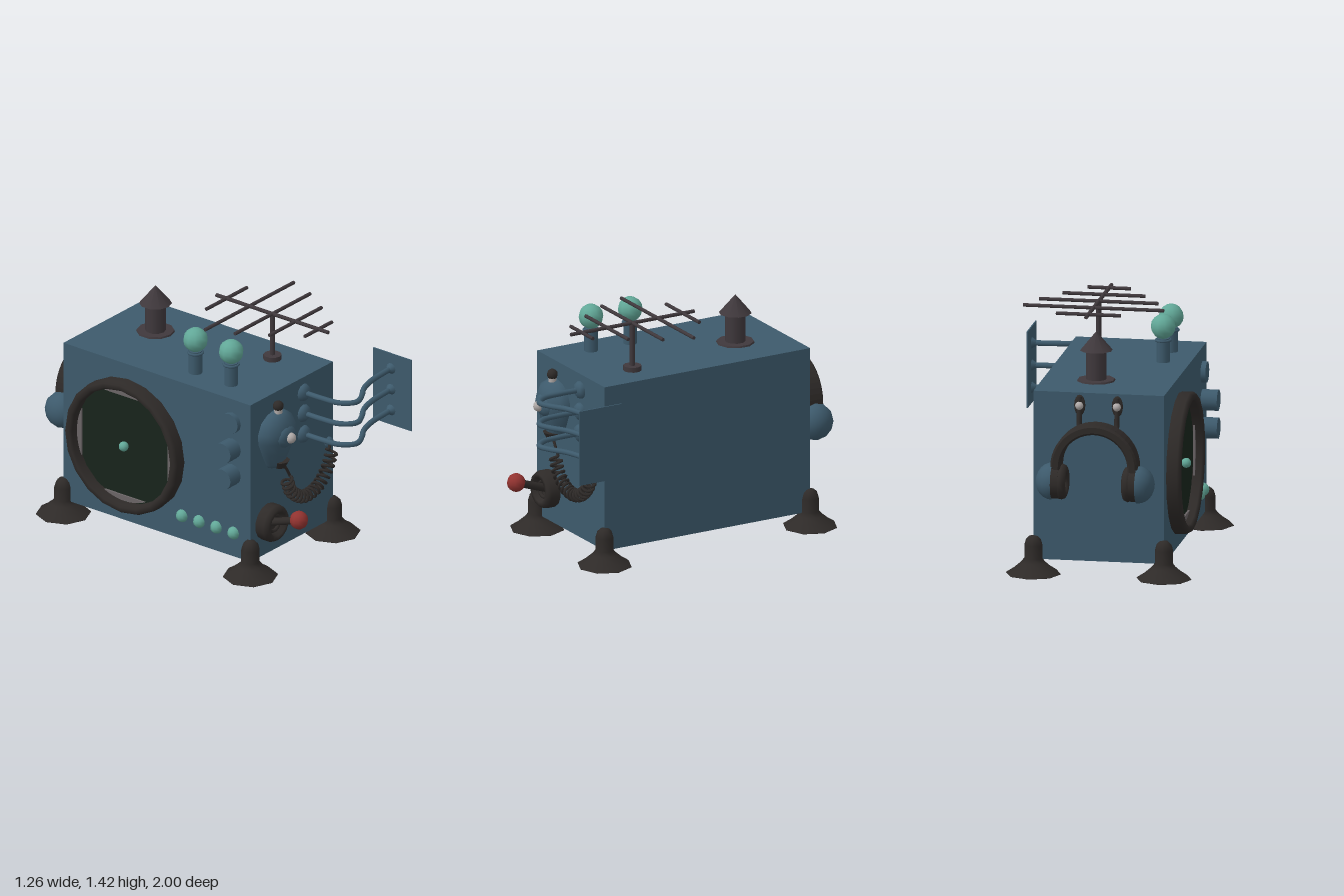
import * as THREE from 'three';

const V = (x, y, z) => new THREE.Vector3(x, y, z);
const mat = (color, side = THREE.FrontSide) => new THREE.MeshStandardMaterial({ color, side });
const BLUE = mat(0x3d5a6c), DARK = mat(0x2e2a28), IRON = mat(0x3f383c), TEAL = mat(0x62a898);
const RED = mat(0x923330), PALE = mat(0xb0aaa8), BLADE = mat(0x6a6466), GREEN = mat(0x18241b);

export function createModel() {
  const root = new THREE.Group();

  function add(name, geo, material, x = 0, y = 0, z = 0, parent = root) {
    const m = new THREE.Mesh(geo, material);
    m.name = name;
    m.position.set(x, y, z);
    parent.add(m);
    return m;
  }
  const group = (name, x = 0, y = 0, z = 0) => {
    const g = new THREE.Group();
    g.name = name;
    g.position.set(x, y, z);
    root.add(g);
    return g;
  };
  const cyl = (r0, r1, h, n = 10) => new THREE.CylinderGeometry(r1, r0, h, n);
  const ball = (r, w = 10, h = 8) => new THREE.SphereGeometry(r, w, h);
  const lathe = (pts, n) => new THREE.LatheGeometry(pts.map(p => new THREE.Vector2(...p)), n);
  const tube = (pts, r, n = 24, sides = 8) =>
    new THREE.TubeGeometry(new THREE.CatmullRomCurve3(pts), n, r, sides);

  // Main cabinet
  const L = -0.468, R = 0.32, F = 0.645, B = -0.772, TOP = 1.115;
  add('cabinet', new THREE.BoxGeometry(R - L, TOP - 0.09, F - B), BLUE, (L + R) / 2, (TOP + 0.09) / 2, (F + B) / 2);

  // Suction feet at the four corners
  const footGeo = lathe([[0, 0], [0.165, 0], [0.165, 0.003], [0.115, 0.036], [0.075, 0.07], [0.055, 0.095],
    [0.055, 0.175], [0.045, 0.21], [0.025, 0.229], [0, 0.234]], 8);
  for (const x of [L, R]) for (const z of [F, B]) add('foot', footGeo, DARK, x, 0, z);

  // Globe lamps on the roof
  for (const z of [0.1, 0.37]) {
    const lamp = group('globeLamp', -0.305, TOP, z);
    add('lampPost', cyl(0.041, 0.041, 0.15), BLUE, 0, 0.07, 0, lamp);
    add('lampCollar', new THREE.TorusGeometry(0.044, 0.008, 6, 12).rotateX(Math.PI / 2), BLUE, 0, 0.132, 0, lamp);
    add('lampGlobe', ball(0.075), TEAL, 0, 0.215, 0, lamp);
  }

  // Chimney with a conical cap
  const chimney = group('chimney', 0, TOP, -0.445);
  add('chimneyFlange', cyl(0.116, 0.112, 0.012), IRON, 0, 0.004, 0, chimney);
  add('chimneyPipe', cyl(0.062, 0.062, 0.19), IRON, 0, 0.095, 0, chimney);
  add('chimneyCap', new THREE.ConeGeometry(0.098, 0.115, 10), IRON, 0, 0.243, 0, chimney);

  // Antenna: mast, boom and cross rods
  const antenna = group('antenna', 0.127, TOP, 0.34);
  add('antennaBase', cyl(0.055, 0.055, 0.03), IRON, 0, 0.015, 0, antenna);
  add('antennaMast', cyl(0.016, 0.016, 0.3, 8), IRON, 0, 0.15, 0, antenna);
  add('antennaBoom', cyl(0.012, 0.012, 0.85, 8).rotateX(Math.PI / 2), IRON, 0, 0.295, 0, antenna);
  [0.195, 0.425, 0.36, 0.25, 0.13].forEach((half, i) =>
    add('antennaRod', cyl(0.011, 0.011, half * 2, 8).rotateZ(Math.PI / 2), IRON, 0, 0.295, (i - 2) * 0.174, antenna));

  // Pear-shaped mouthpiece on the front
  const horn = group('mouthpiece', -0.24, 0, F);
  add('mouthpieceShell', lathe([[0, 0.645], [0.06, 0.645], [0.08, 0.67], [0.118, 0.75], [0.152, 0.83], [0.156, 0.89],
    [0.125, 0.955], [0.07, 0.99], [0, 1.005]], 12).scale(1, 1, 0.72), BLUE, 0, 0, 0, horn);
  add('mouthpieceSnout', ball(0.085, 12, 8).scale(1, 0.8, 0.5), BLUE, 0, 0.855, 0.085, horn);
  add('mouthpieceButton', ball(0.033), PALE, 0, 0.855, 0.125, horn);
  add('topCollar', cyl(0.024, 0.024, 0.03), PALE, 0, 1.008, 0.03, horn);
  add('topKnob', ball(0.033), DARK, 0, 1.038, 0.03, horn);
  add('cordSocket', cyl(0.035, 0.06, 0.045, 8), DARK, 0.01, 0.66, 0.035, horn);

  // Coiled cord hanging in an arc
  const arc = new THREE.CatmullRomCurve3([V(-0.18, 0.54, 0.69), V(-0.14, 0.45, 0.69), V(-0.06, 0.385, 0.69),
    V(0.03, 0.365, 0.69), V(0.13, 0.395, 0.69), V(0.21, 0.475, 0.69), V(0.255, 0.575, 0.69)]);
  const cord = [V(-0.23, 0.66, 0.68), V(-0.19, 0.62, 0.69), V(-0.155, 0.565, 0.69)];
  const turns = 18, perTurn = 8;
  for (let i = 0; i <= turns * perTurn; i++) {
    const t = i / (turns * perTurn), a = i / perTurn * Math.PI * 2, p = arc.getPointAt(t), d = arc.getTangentAt(t);
    cord.push(V(p.x - d.y * 0.034 * Math.cos(a), p.y + d.x * 0.034 * Math.cos(a), p.z + 0.034 * Math.sin(a)));
  }
  cord.push(V(0.27, 0.602, 0.66));
  add('coiledCord', tube(cord, 0.009, 900, 5), DARK);
  add('cordPlug', ball(0.034), BLUE, 0.275, 0.605, F);

  // Lever in a round housing
  const lever = group('lever', -0.307, 0.3, F);
  add('leverHousing', lathe([[0.115, 0], [0.115, 0.06], [0.1, 0.085], [0.075, 0.085], [0.065, 0.05], [0.04, 0.04],
    [0, 0.04]], 14).rotateX(Math.PI / 2), DARK, 0, 0, 0, lever);
  add('leverCollar', new THREE.TorusGeometry(0.05, 0.012, 6, 14), DARK, 0, 0, 0.05, lever);
  add('leverArm', tube([V(0, 0, 0.02), V(0, 0.037, 0.13), V(0, 0.075, 0.24)], 0.024), DARK, 0, 0, 0, lever);
  add('leverKnob', ball(0.056), RED, 0, 0.075, 0.24, lever);

  // Three curved pipes carrying the side panel
  add('sidePanel', new THREE.BoxGeometry(0.008, 0.465, 0.29), BLUE, 0.626, 0.8825, 0.855);
  for (const y of [0.745, 0.881, 1.017]) {
    const pipe = group('panelPipe', 0, y, 0);
    add('pipeSocket', ball(0.055, 8, 6).scale(1, 1, 0.7), BLUE, 0.038, 0, F, pipe);
    add('pipe', tube([V(0.038, 0, F), V(0.038, 0, 0.78), V(0.055, 0, 0.91), V(0.125, 0, 0.978), V(0.21, 0, 0.95),
      V(0.3, 0, 0.895), V(0.42, 0, 0.86), V(0.6, 0, 0.845)], 0.017, 36), BLUE, 0, 0, 0, pipe);
    add('pipeFlange', cyl(0.017, 0.036, 0.028).rotateZ(-Math.PI / 2), BLUE, 0.61, 0, 0.845, pipe);
  }

  // Large fan on the side
  const fan = group('fan', L, 0.595, -0.28);
  add('fanRim', lathe([[0.425, 0], [0.425, 0.065], [0.412, 0.085], [0.385, 0.085], [0.372, 0.07], [0.372, 0]], 20)
    .rotateZ(Math.PI / 2), DARK, 0, 0, 0, fan);
  add('fanBack', cyl(0.385, 0.385, 0.02, 20).rotateZ(Math.PI / 2), GREEN, -0.01, 0, 0, fan);
  const bladeShape = new THREE.Shape();
  bladeShape.moveTo(0, 0);
  bladeShape.absarc(0, 0, 0.36, -0.44, 0.44, false);
  bladeShape.closePath();
  const bladeGeo = new THREE.ExtrudeGeometry(bladeShape, { depth: 0.012, bevelEnabled: false, curveSegments: 5 });
  for (let i = 0; i < 4; i++)
    add('fanBlade', bladeGeo.clone().rotateZ(i * Math.PI / 2).rotateY(-Math.PI / 2), BLADE, -0.026, 0, 0, fan);
  add('fanHub', ball(0.03), TEAL, -0.045, 0, 0, fan);

  // Side knobs and a row of indicator lights
  for (const [y, out] of [[0.965, 0.03], [0.795, 0.098], [0.625, 0.098]])
    add('sideKnob', cyl(0.065, 0.065, out + 0.02, 12).rotateZ(Math.PI / 2), BLUE, L - out / 2 + 0.01, y, 0.507);
  for (let i = 0; i < 4; i++) add('indicatorLight', ball(0.04), TEAL, L, 0.245, 0.13 + i * 0.13);

  // Headphones hanging on the back
  const phones = group('headphones', -0.073, 0, -0.885);
  const band = new THREE.Shape();
  band.moveTo(0.25, 0.63);
  band.absarc(0, 0.695, 0.25, 0, Math.PI, false);
  band.lineTo(-0.25, 0.63);
  band.lineTo(-0.215, 0.63);
  band.absarc(0, 0.695, 0.215, Math.PI, 0, true);
  band.lineTo(0.215, 0.63);
  band.closePath();
  add('headband', new THREE.ExtrudeGeometry(band, { depth: 0.1, bevelSize: 0.012, bevelThickness: 0.012,
    bevelSegments: 1, curveSegments: 12 }), DARK, 0, 0, -0.05, phones);
  for (const s of [-1, 1]) {
    add('earPad', new THREE.TorusGeometry(0.075, 0.032, 8, 14).rotateY(Math.PI / 2), DARK, s * 0.2, 0.595, 0, phones);
    add('earPlate', cyl(0.106, 0.106, 0.05, 12).rotateZ(Math.PI / 2), DARK, s * 0.238, 0.595, 0, phones);
    add('earCup', new THREE.SphereGeometry(0.115, 12, 6, 0, Math.PI * 2, 0, Math.PI / 2)
      .rotateZ(-s * Math.PI / 2).scale(0.9, 1, 1), BLUE, s * 0.254, 0.595, 0, phones);
  }

  // Two hooks that hold the headband
  for (const x of [-0.187, 0.04]) {
    const hook = group('hook', x, 0, B);
    add('hookPlate', ball(0.04).scale(0.85, 1.6, 0.3), DARK, 0, 1.04, -0.005, hook);
    add('hookArm', tube([V(0, 1.09, -0.005), V(0, 0.98, -0.018), V(0, 0.91, -0.035), V(0, 0.885, -0.08),
      V(0, 0.89, -0.13), V(0, 0.925, -0.16)], 0.016), DARK, 0, 0, 0, hook);
    add('hookScrew', ball(0.025), PALE, 0, 1.04, -0.022, hook);
  }
  return root;
}
